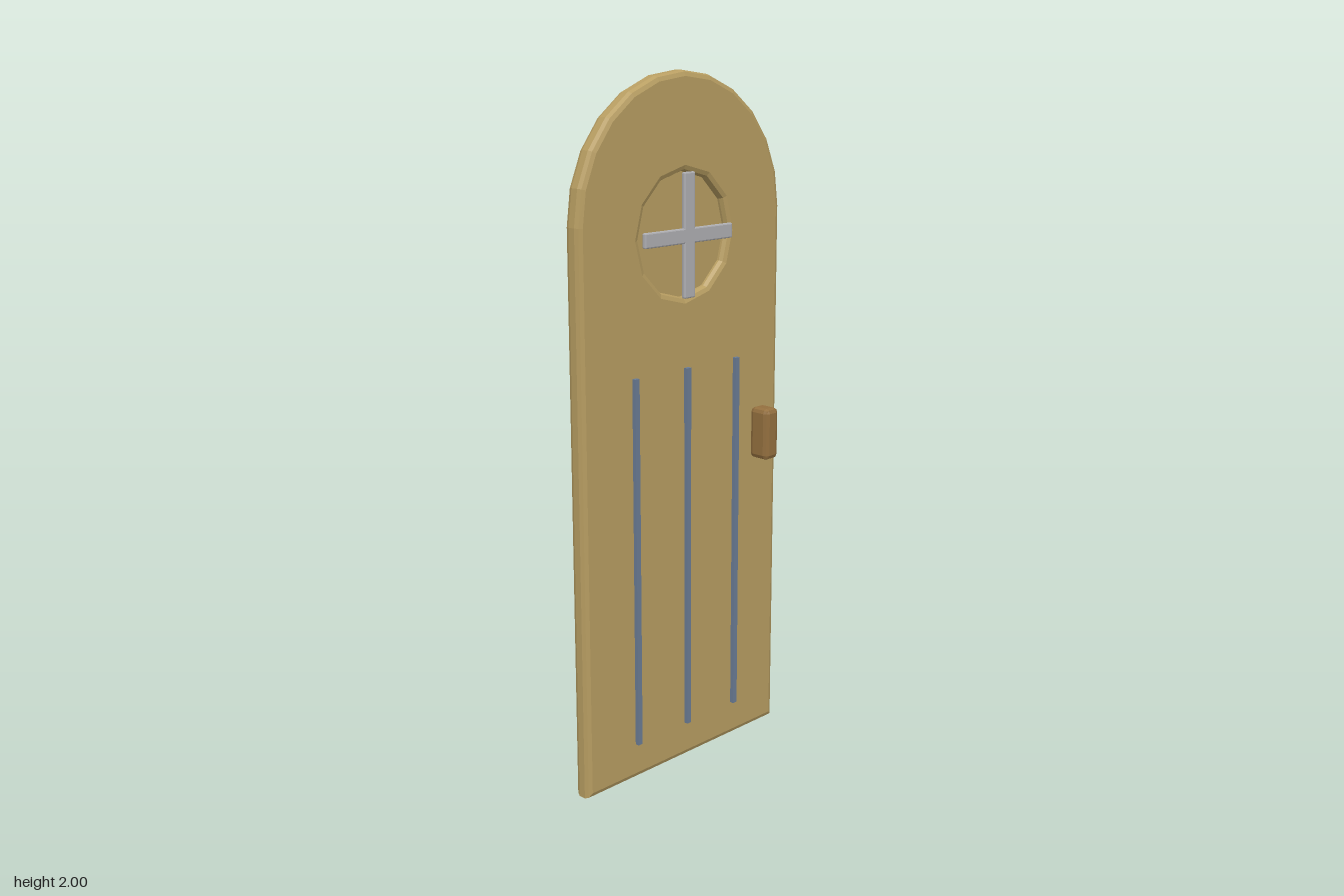
import * as THREE from 'three';
import { RoundedBoxGeometry } from 'three/addons/geometries/RoundedBoxGeometry.js';

const material = (name, color) => {
  const m = new THREE.MeshStandardMaterial({ color });
  m.name = name;
  return m;
};

export function createModel() {
  const wood = material('pale wood', 0xb89e62);
  const darkWood = material('dark wood', 0x94703f);
  const silver = material('silver grey', 0xb0b0b4);
  const groove = material('slate blue', 0x6b7d96);

  const door = new THREE.Group();
  door.name = 'door';

  const add = (name, geometry, mat, x, y, z) => {
    const mesh = new THREE.Mesh(geometry, mat);
    mesh.name = name;
    mesh.position.set(x, y, z);
    door.add(mesh);
    return mesh;
  };

  // Box with chamfered edges and flat facets
  const chamferedBox = (w, h, d, r) => {
    const g = new RoundedBoxGeometry(w, h, d, 1, r);
    g.computeVertexNormals();
    return g;
  };

  // Arched slab with a round window opening; the bevel grows the outline
  const bevel = 0.016, halfWidth = 0.39, springY = 1.61;
  const windowY = 1.56, windowRadius = 0.19, back = -0.062, front = -0.008;
  const r = halfWidth - bevel;
  const outline = [new THREE.Vector2(-r, bevel), new THREE.Vector2(r, bevel)];
  for (let i = 0; i <= 12; i++) {
    const a = (i / 12) * Math.PI;
    outline.push(new THREE.Vector2(r * Math.cos(a), springY + r * Math.sin(a)));
  }
  const slabShape = new THREE.Shape(outline);
  const opening = [];
  for (let i = 0; i < 12; i++) {
    const a = (i / 12) * Math.PI * 2;
    opening.push(new THREE.Vector2(windowRadius * Math.cos(a), windowY + windowRadius * Math.sin(a)));
  }
  slabShape.holes.push(new THREE.Path(opening));
  const slab = new THREE.ExtrudeGeometry(slabShape, {
    depth: front - back - 2 * bevel,
    bevelEnabled: true,
    bevelThickness: bevel,
    bevelSize: bevel,
    bevelSegments: 2,
  });
  add('doorSlab', slab, wood, 0, 0, back + bevel);

  // Recessed panel closing the window opening
  const pane = new THREE.CylinderGeometry(0.175, 0.175, 0.008, 12);
  pane.rotateY(Math.PI / 2);
  pane.rotateX(Math.PI / 2);
  add('windowPane', pane, wood, 0, windowY, (front + back) / 2);

  // Window cross bars
  add('windowBarHorizontal', chamferedBox(0.34, 0.042, 0.013, 0.004), silver, 0, windowY, 0.004);
  add('windowBarVertical', chamferedBox(0.042, 0.345, 0.013, 0.004), silver, 0, windowY, 0.004);

  // Plank lines
  for (const x of [-0.2, 0, 0.2]) {
    add('plankLine', new THREE.BoxGeometry(0.016, 1.08, 0.012), groove, x, 0.65, 0.001);
  }

  // Handle
  add('handle', chamferedBox(0.055, 0.155, 0.068, 0.014), darkWood, 0.297, 0.952, 0.026);

  return door;
}
